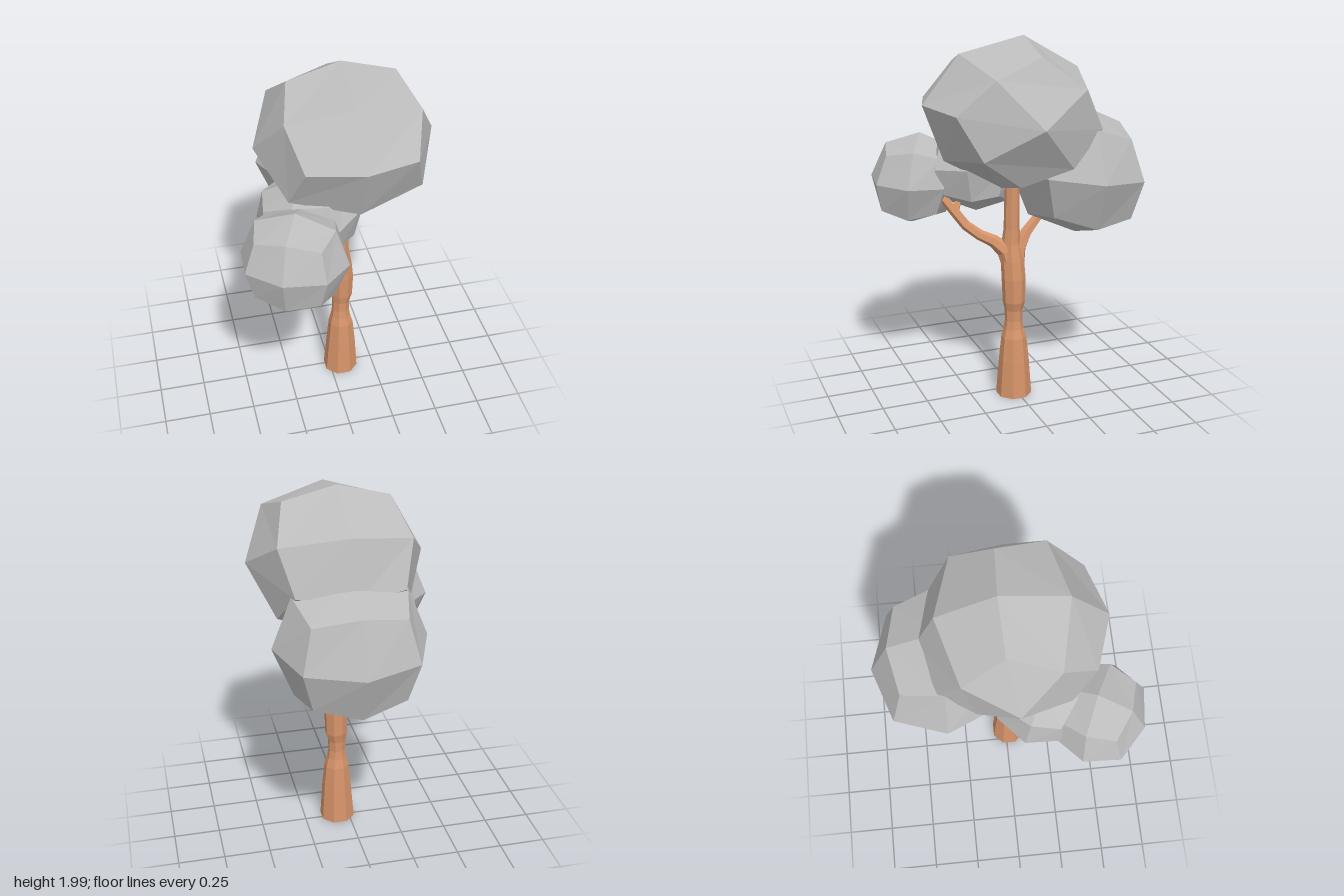
import * as THREE from 'three';

const bark = new THREE.MeshStandardMaterial({ color: 0xd6946a });
bark.name = 'bark';
const foliage = new THREE.MeshStandardMaterial({ color: 0xbcbcbc });
foliage.name = 'foliage';

// Flat-faced copy of an indexed geometry
function faceted(geometry) {
  const flat = geometry.toNonIndexed();
  flat.computeVertexNormals();
  return flat;
}

// Leaf clump: a 2x2x2 subdivided cube rounded to a ball, then stretched along three axes
function clump(name, center, ax, ay, az) {
  const geo = new THREE.BoxGeometry(2, 2, 2, 2, 2, 2);
  const pos = geo.attributes.position;
  const v = new THREE.Vector3();
  const reach = [0, 1, 0.735, 0.6]; // face centre, edge middle, corner
  for (let i = 0; i < pos.count; i++) {
    v.fromBufferAttribute(pos, i);
    const n = v.toArray().filter((c) => Math.abs(c) > 0.5).length;
    v.multiplyScalar(reach[n]);
    pos.setXYZ(i, v.x, v.y, v.z);
  }
  const basis = new THREE.Matrix4().makeBasis(
    new THREE.Vector3(...ax), new THREE.Vector3(...ay), new THREE.Vector3(...az));
  basis.setPosition(...center);
  geo.applyMatrix4(basis);
  const mesh = new THREE.Mesh(faceted(geo), foliage);
  mesh.name = name;
  return mesh;
}

// Limb: closed tube through stations [x, y, z, radius]
function limb(name, stations, sides = 8) {
  const pts = stations.map((s) => new THREE.Vector3(s[0], s[1], s[2]));
  const last = pts.length - 1;
  const verts = [];
  const index = [];
  pts.forEach((p, i) => {
    const t = pts[Math.min(i + 1, last)].clone().sub(pts[Math.max(i - 1, 0)]).normalize();
    if (i === 0 && p.y === 0) t.set(0, 1, 0); // keep the foot level
    const n1 = new THREE.Vector3(1, 0, 0).addScaledVector(t, -t.x).normalize();
    const n2 = t.clone().cross(n1);
    for (let j = 0; j < sides; j++) {
      const a = ((j + 0.5) / sides) * Math.PI * 2;
      const q = p.clone()
        .addScaledVector(n1, Math.cos(a) * stations[i][3])
        .addScaledVector(n2, Math.sin(a) * stations[i][3]);
      verts.push(q.x, q.y, q.z);
    }
  });
  for (let i = 0; i < last; i++) {
    for (let j = 0; j < sides; j++) {
      const k = (j + 1) % sides;
      const a = i * sides + j, b = i * sides + k;
      index.push(a, b, b + sides, a, b + sides, a + sides);
    }
  }
  // end caps
  const top = last * sides;
  for (let j = 1; j < sides - 1; j++) {
    index.push(0, j + 1, j, top, top + j, top + j + 1);
  }
  const geo = new THREE.BufferGeometry();
  geo.setAttribute('position', new THREE.Float32BufferAttribute(verts, 3));
  geo.setIndex(index);
  const mesh = new THREE.Mesh(faceted(geo), bark);
  mesh.name = name;
  return mesh;
}

export function createModel() {
  const tree = new THREE.Group();
  tree.name = 'tree';

  // Trunk with a pinched waist
  tree.add(limb('trunk', [
    [0.063, 0, 0.015, 0.098], [0.065, 0.2, 0.015, 0.083], [0.064, 0.34, 0.015, 0.069],
    [0.062, 0.39, 0.015, 0.055], [0.062, 0.44, 0.015, 0.048], [0.062, 0.5, 0.015, 0.05],
    [0.066, 0.55, 0.015, 0.061], [0.066, 0.68, 0.017, 0.065], [0.057, 0.78, 0.02, 0.063],
    [0.05, 0.88, 0.025, 0.052], [0.055, 0.96, 0.024, 0.043], [0.06, 1.32, 0.022, 0.038],
  ]));

  // Branches
  tree.add(limb('frontBranch', [
    [0.06, 0.74, 0.03, 0.045], [0.05, 0.84, 0.06, 0.046], [0.035, 0.895, 0.12, 0.034],
    [0.01, 0.93, 0.19, 0.029], [-0.025, 0.98, 0.255, 0.027], [-0.055, 1.05, 0.305, 0.026],
    [-0.08, 1.12, 0.355, 0.024], [-0.15, 1.18, 0.41, 0.02],
  ], 6));
  tree.add(limb('frontTwig', [
    [-0.05, 1.04, 0.305, 0.02], [-0.065, 1.08, 0.29, 0.019], [-0.085, 1.14, 0.265, 0.014],
  ], 6));
  tree.add(limb('backBranch', [
    [0.06, 0.72, 0.0, 0.045], [0.052, 0.85, -0.015, 0.044], [0.045, 0.93, -0.065, 0.032],
    [0.035, 1.01, -0.14, 0.026], [0.03, 1.1, -0.22, 0.022],
  ], 6));

  // Leaf clumps
  tree.add(clump('crownClump', [0.065, 1.59, 0.03],
    [0.465, 0, 0], [0, 0.22, -0.37], [0, 0.32, 0.28]));
  tree.add(clump('backClump', [0.065, 1.265, -0.33],
    [0.4, 0, 0], [0, 0.36, 0.01], [0, 0.045, 0.37]));
  tree.add(clump('frontClump', [-0.28, 1.2, 0.45],
    [0.25, 0, 0.115], [0.01, 0.25, -0.025], [-0.105, 0.01, 0.22]));
  tree.add(clump('middleClump', [-0.15, 1.25, 0.17],
    [0.25, 0.06, 0.115], [-0.05, 0.215, 0], [-0.105, 0, 0.22]));

  return tree;
}
